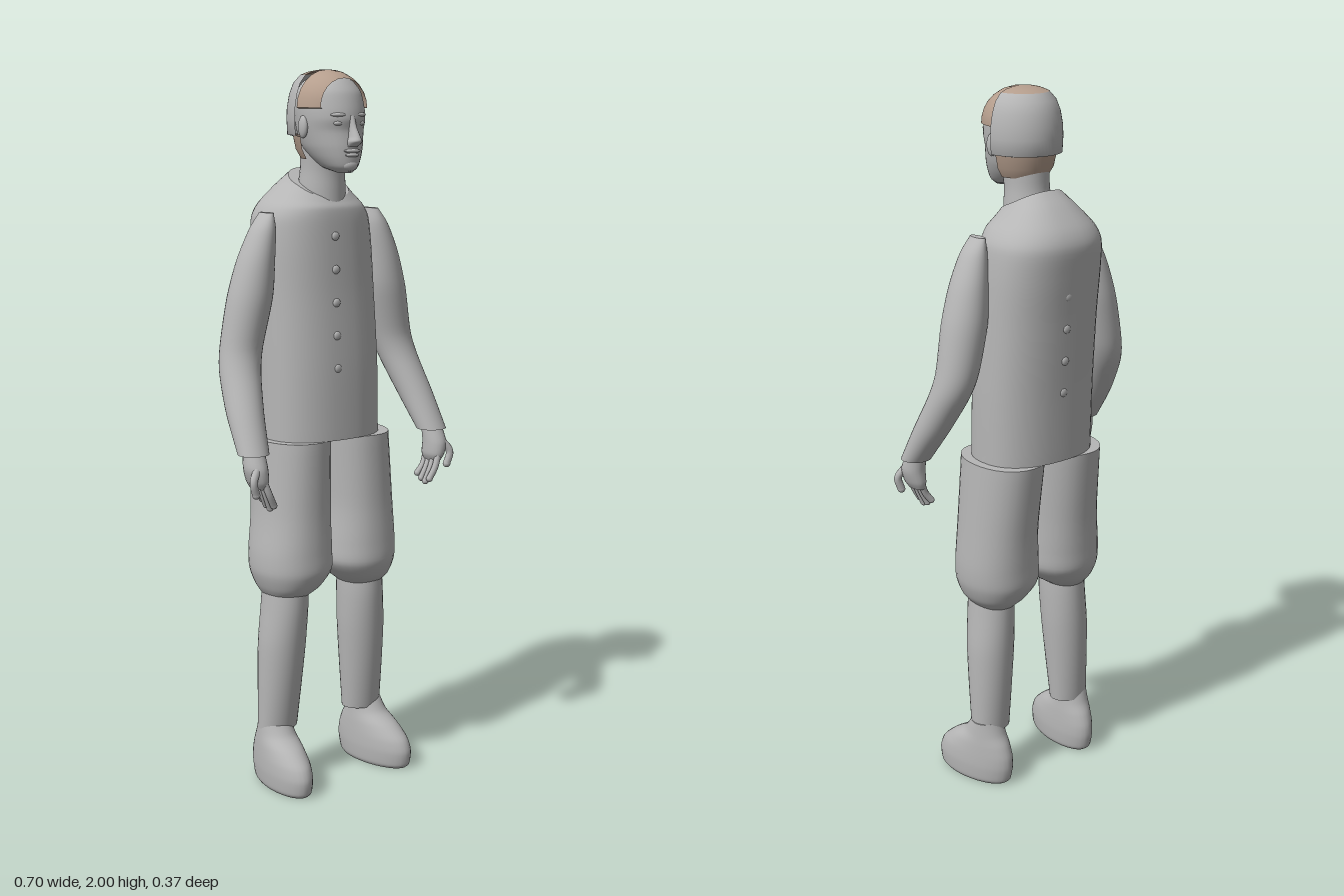
import * as THREE from 'three';

const grey = new THREE.MeshStandardMaterial({ color: 0xb6b6b6, side: THREE.DoubleSide });
grey.name = 'plain grey';
const brown = new THREE.MeshStandardMaterial({ color: 0xb59e8d, side: THREE.DoubleSide });
brown.name = 'hair brown';

// Smooth loft through horizontal ovals, bottom to top.
// Row: [y, centre x, centre z, radius x, radius z, tilt (rise toward the front)]
function loft(rows, { power = 1, seg = 32, steps = 5 } = {}) {
  const centre = new THREE.CatmullRomCurve3(rows.map(r => new THREE.Vector3(r[1], r[0], r[2])), false, 'catmullrom', 0.4);
  const size = new THREE.CatmullRomCurve3(rows.map(r => new THREE.Vector3(r[3], r[4], r[5] || 0)), false, 'catmullrom', 0.4);
  const n = (rows.length - 1) * steps;
  const pos = [], idx = [];
  const addRing = t => {
    const c = centre.getPoint(t), s = size.getPoint(t);
    for (let j = 0; j < seg; j++) {
      const a = j / seg * Math.PI * 2, ca = Math.cos(a), sa = Math.sin(a);
      pos.push(c.x + Math.sign(ca) * Math.abs(ca) ** power * s.x, c.y + sa * s.z,
        c.z + Math.sign(sa) * Math.abs(sa) ** power * s.y);
    }
  };
  for (let i = 0; i <= n; i++) addRing(i / n);
  for (let i = 0; i < n; i++) {
    for (let j = 0; j < seg; j++) {
      const a = i * seg + j, b = i * seg + (j + 1) % seg;
      idx.push(a, a + seg, b, b, a + seg, b + seg);
    }
  }
  // End caps on their own rings keep the rims crisp
  for (const t of [0, 1]) {
    const start = pos.length / 3, c = centre.getPoint(t);
    addRing(t);
    pos.push(c.x, c.y, c.z);
    for (let j = 0; j < seg; j++) {
      const a = start + j, b = start + (j + 1) % seg;
      idx.push(start + seg, t ? b : a, t ? a : b);
    }
  }
  const g = new THREE.BufferGeometry();
  g.setAttribute('position', new THREE.Float32BufferAttribute(pos, 3));
  g.setIndex(idx);
  g.computeVertexNormals();
  return g;
}

// Row from front and back z instead of centre and radius
const span = (y, front, back, rx, x = 0) => [y, x, (front + back) / 2, rx, (front - back) / 2];

export function createModel() {
  const model = new THREE.Group();
  const add = (name, geo, mat = grey, parent = model) => {
    const m = new THREE.Mesh(geo, mat);
    m.name = name;
    parent.add(m);
    return m;
  };
  const blob = (name, x, y, z, rx, ry, rz, parent = model) => {
    const m = add(name, new THREE.SphereGeometry(1, 16, 12), grey, parent);
    m.position.set(x, y, z);
    m.scale.set(rx, ry, rz);
    return m;
  };

  // Jacket with sloping shoulders and a neckline lower at the front
  add('jacket', loft([
    span(1.0, 0.12, -0.145, 0.175, 0.01),
    span(1.2, 0.115, -0.152, 0.175, 0.01),
    span(1.4, 0.104, -0.165, 0.172, 0.007),
    span(1.52, 0.1, -0.178, 0.17, 0.004),
    span(1.6, 0.097, -0.185, 0.163, 0.002),
    [1.64, 0, -0.037, 0.143, 0.13, -0.006],
    [1.675, 0, -0.018, 0.108, 0.102, -0.025],
    [1.7, 0, 0, 0.08, 0.076, -0.038],
  ], { power: 0.85, seg: 40 }));
  for (let i = 0; i < 5; i++) {
    const y = 1.2 + i * 0.09;
    blob('frontButton', -0.015, y, 0.112 - i * 0.003, 0.012, 0.012, 0.006);
    blob('backBump', 0.01, y, -0.151 - i * 0.006, 0.012, 0.012, 0.005);
  }

  for (const s of [-1, 1]) {
    const side = s > 0 ? 'left' : 'right';
    const shift = s > 0 ? 0.022 : 0;

    // Baggy breeches gathered below the knee
    add(side + 'Breeches', loft([
      span(0.555, 0.085, -0.055, 0.055, s * 0.13),
      span(0.585, 0.115, -0.085, 0.085, s * 0.118 + shift * 0.3),
      span(0.63, 0.134, -0.108, 0.11, s * 0.107 + shift * 0.4),
      span(0.69, 0.132, -0.113, 0.111, s * 0.105 + shift * 0.6),
      span(0.8, 0.125, -0.121, 0.103, s * 0.098 + shift),
      span(1.0, 0.12, -0.145, 0.1, s * 0.09 + shift),
    ], { power: 0.92 }));

    // Stocking
    add(side + 'Stocking', loft([
      span(0.165, 0.055, -0.042, 0.059, s * 0.149),
      span(0.3, 0.073, -0.05, 0.064, s * 0.144),
      span(0.42, 0.087, -0.055, 0.067, s * 0.139),
      span(0.52, 0.096, -0.056, 0.063, s * 0.133),
      span(0.6, 0.098, -0.056, 0.058, s * 0.13),
    ]));

    // Rounded shoe, toes turned slightly out
    const shoe = add(side + 'Shoe', loft([
      span(0, 0.165, -0.065, 0.05),
      span(0.012, 0.176, -0.077, 0.056),
      span(0.05, 0.18, -0.085, 0.059),
      span(0.085, 0.165, -0.083, 0.058),
      span(0.12, 0.125, -0.071, 0.055),
      span(0.15, 0.078, -0.054, 0.051),
      span(0.19, 0.048, -0.038, 0.047),
    ]));
    shoe.position.x = s > 0 ? 0.162 : -0.158;
    shoe.rotation.y = s > 0 ? 0.2 : -0.05;

    // Sleeve, bent forward at the elbow
    add(side + 'Sleeve', loft([
      span(1.0, 0.17, 0.088, 0.043, s * 0.305),
      span(1.1, 0.122, 0.015, 0.05, s * 0.291),
      span(1.2, 0.074, -0.042, 0.056, s * 0.271),
      span(1.27, 0.057, -0.06, 0.059, s * 0.255),
      span(1.4, 0.064, -0.063, 0.062, s * 0.228),
      span(1.5, 0.06, -0.052, 0.05, s * 0.21),
      span(1.58, 0.05, -0.036, 0.033, s * 0.19),
      span(1.625, 0.036, -0.024, 0.012, s * 0.176),
    ]));

    // Hand with curled fingers
    const hand = new THREE.Group();
    hand.name = side + 'Hand';
    model.add(hand);
    add('palm', loft([
      span(0.91, 0.172, 0.108, 0.016, s * 0.3),
      span(0.93, 0.182, 0.102, 0.026, s * 0.302),
      span(0.965, 0.18, 0.103, 0.031, s * 0.307),
      span(1.01, 0.158, 0.1, 0.029, s * 0.305),
    ], { seg: 20 }), grey, hand);
    const digit = (name, pts, r) => {
      const v = pts.map(p => new THREE.Vector3(s * p[0], p[1], p[2]));
      add(name, new THREE.TubeGeometry(new THREE.CatmullRomCurve3(v), 10, r, 10), grey, hand);
      const tip = v[v.length - 1];
      blob(name + 'Tip', tip.x, tip.y, tip.z, r, r, r, hand);
    };
    for (let i = 0; i < 4; i++) {
      const z = 0.115 + i * 0.018, low = [0.87, 0.858, 0.852, 0.862][i];
      digit('finger', [[0.3, 0.935, z], [0.285, 0.895, z + 0.004], [0.268, low, z]], 0.0095);
    }
    digit('thumb', [[0.318, 0.965, 0.165], [0.336, 0.935, 0.176], [0.327, 0.9, 0.174]], 0.011);
  }

  // Neck, head and face
  add('neck', loft([
    span(1.6, 0.085, -0.06, 0.066),
    span(1.68, 0.083, -0.055, 0.065),
    span(1.74, 0.083, -0.045, 0.06),
    span(1.83, 0.1, -0.045, 0.062),
  ]));
  const head = new THREE.Group();
  head.name = 'head';
  model.add(head);
  add('skull', loft([
    span(1.73, 0.14, 0.1, 0.02),
    span(1.745, 0.154, 0.04, 0.044),
    span(1.77, 0.157, 0, 0.062),
    span(1.8, 0.156, -0.03, 0.076),
    span(1.84, 0.151, -0.045, 0.086),
    span(1.87, 0.156, -0.05, 0.09),
    span(1.9, 0.151, -0.052, 0.091),
    span(1.94, 0.137, -0.045, 0.086),
    span(1.968, 0.115, -0.025, 0.066),
    span(1.983, 0.095, 0, 0.04),
    span(1.988, 0.06, 0.04, 0.008),
  ]), grey, head);
  add('nose', loft([
    span(1.798, 0.165, 0.14, 0.014),
    span(1.812, 0.188, 0.14, 0.018),
    span(1.825, 0.184, 0.14, 0.013),
    span(1.85, 0.169, 0.14, 0.009),
    span(1.88, 0.157, 0.14, 0.009),
  ], { seg: 16 }), grey, head);
  blob('upperLip', 0, 1.788, 0.153, 0.026, 0.006, 0.011, head);
  blob('lowerLip', 0, 1.777, 0.152, 0.022, 0.006, 0.011, head);
  blob('chin', 0, 1.75, 0.143, 0.024, 0.016, 0.015, head);
  for (const s of [-1, 1]) {
    blob('eye', s * 0.035, 1.86, 0.139, 0.015, 0.007, 0.01, head);
    blob('brow', s * 0.036, 1.882, 0.14, 0.022, 0.006, 0.011, head).rotation.y = s * 0.35;
    blob('ear', s * 0.09, 1.85, 0.055, 0.01, 0.03, 0.018, head);
  }

  // Front hair: upper half of an oval dome, cut off flat at the hairline
  const frontHair = new THREE.SphereGeometry(1, 24, 20, 0, Math.PI * 2, Math.acos(0.64), Math.PI / 2 - Math.acos(0.64));
  frontHair.rotateX(Math.PI / 2);
  const p = frontHair.attributes.position;
  for (let i = 0; i < p.count; i++) if (p.getY(i) < 0) p.setY(i, p.getY(i) * 0.05);
  frontHair.scale(0.1, 0.1, 0.12);
  frontHair.translate(0, 1.9, 0.04);
  frontHair.computeVertexNormals();
  add('frontHair', frontHair, brown, head);

  // Half-round shell over the back of the head, hair showing at its crown and below
  const backShell = (name, pts, mat) => {
    const g = new THREE.LatheGeometry(pts.map(q => new THREE.Vector2(q[0], q[1])), 32, Math.PI / 2, Math.PI);
    g.scale(1, 1, 1.1);
    g.translate(0, 0, 0.04);
    add(name, g, mat, head);
  };
  backShell('cap', [[0.09, 1.825], [0.104, 1.828], [0.106, 1.87], [0.105, 1.9], [0.099, 1.935], [0.088, 1.965], [0.07, 1.986]], grey);
  backShell('crownHair', [[0.07, 1.986], [0.05, 1.994], [0.025, 1.999], [0, 2.0]], brown);
  backShell('napeHair', [[0.068, 1.765], [0.082, 1.79], [0.09, 1.83]], brown);

  return model;
}
